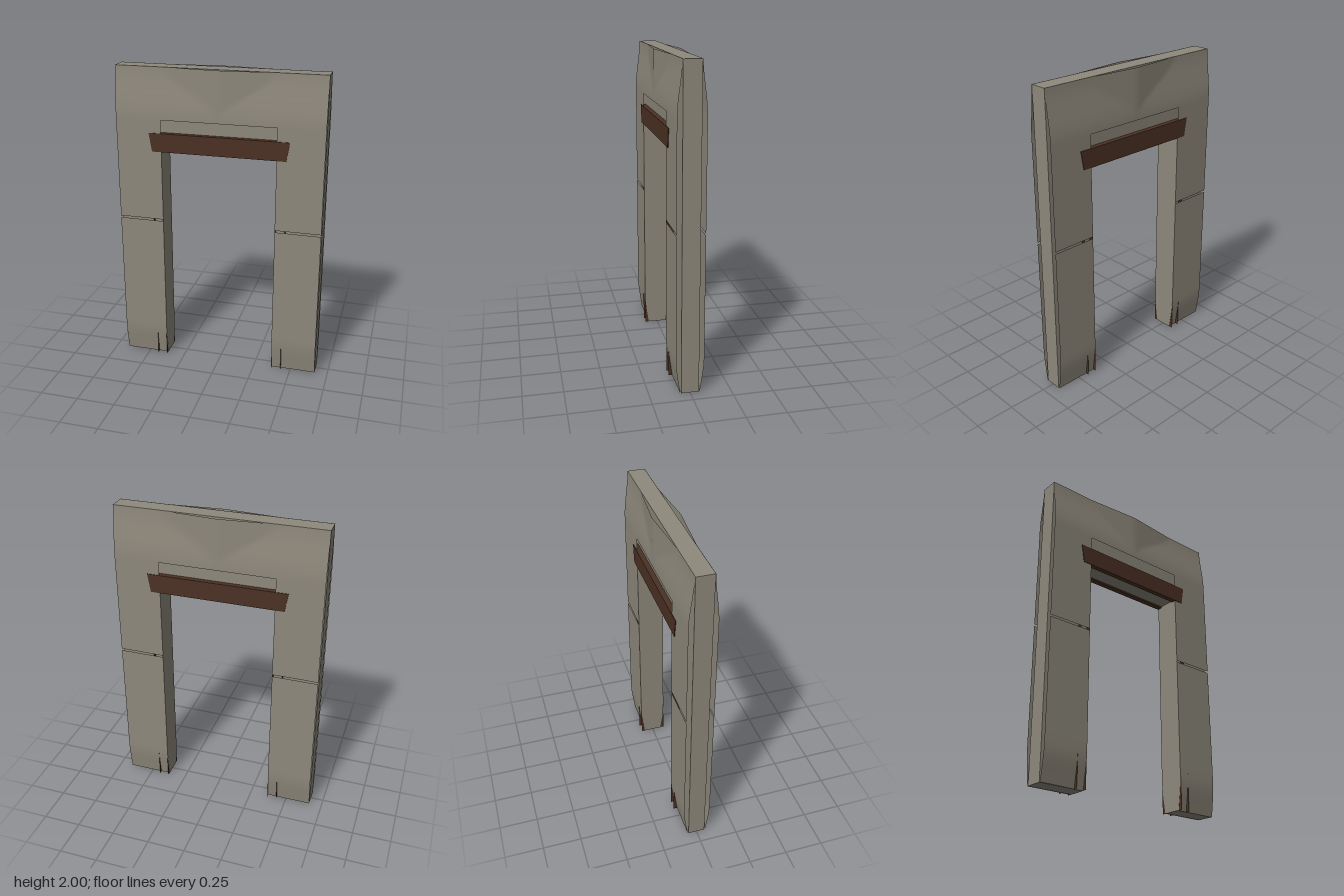
import * as THREE from 'three';

const stone = new THREE.MeshStandardMaterial({ color: 0x8f897c });
const sheet = new THREE.MeshStandardMaterial({ color: 0x8f897c, side: THREE.DoubleSide });
const wood = new THREE.MeshStandardMaterial({ color: 0x4c3124, side: THREE.DoubleSide });
const W = 0.665, IN = 0.37, H = 2, OPEN = 1.48, SLOT = 1.675, CORE = 0.055, FACE = 0.086;

function add(parent, name, geometry, material) {
  const mesh = new THREE.Mesh(geometry, material);
  mesh.name = name;
  parent.add(mesh);
}

// Depth of the swollen stone face, tapering at its foot and its head
function faceDepth(x, y) {
  const foot = THREE.MathUtils.smoothstep(y, -0.08, 0.22);
  const head = THREE.MathUtils.smoothstep(H - y, -0.02, 0.32);
  const crown = Math.max(0, 1 - Math.abs(x) / 0.36);
  const rise = Math.min(foot, Math.max(head, crown));
  return CORE + 0.001 + (FACE - CORE - 0.001) * rise;
}

// A face panel bent to the depth rule
function panel(x0, x1, y0, y1, nx, ny) {
  const geo = new THREE.PlaneGeometry(x1 - x0, y1 - y0, nx, ny);
  geo.translate((x0 + x1) / 2, (y0 + y1) / 2, 0);
  const p = geo.attributes.position;
  for (let i = 0; i < p.count; i++) p.setZ(i, faceDepth(p.getX(i), p.getY(i)));
  geo.computeVertexNormals();
  return geo;
}

// Outline given as corner points, extruded from z0 to z1
function slab(points, z0, z1) {
  const shape = new THREE.Shape(points.map(([x, y]) => new THREE.Vector2(x, y)));
  return new THREE.ExtrudeGeometry(shape, { depth: z1 - z0, bevelEnabled: false }).translate(0, 0, z0);
}

// Thin upright strip facing along x (dir = 1 or -1); a tapered one follows the stone face
function strip(x, y0, y1, dir, tapered = false) {
  const geo = new THREE.PlaneGeometry(FACE - CORE, y1 - y0, 1, 24);
  geo.rotateY(dir * Math.PI / 2);
  geo.translate(x, (y0 + y1) / 2, (FACE + CORE) / 2);
  const p = geo.attributes.position;
  for (let i = 0; tapered && i < p.count; i++) {
    p.setZ(i, Math.min(p.getZ(i), faceDepth(x, p.getY(i))));
  }
  return geo;
}

// Everything that repeats on the front and the back
function buildFace(name) {
  const g = new THREE.Group();
  g.name = name;
  for (const s of [-1, 1]) {
    const a = Math.min(s * IN, s * W), b = Math.max(s * IN, s * W);
    add(g, 'lowerPillarFace', panel(a, b, 0, 1.0, 8, 24), sheet);
    add(g, 'upperPillarFace', panel(a, b, 1.012, SLOT, 8, 10), sheet);
    // Stone return around the opening, with the timber lining behind it
    add(g, 'pillarReturn', strip(s * IN, 0, OPEN, -s, true), sheet);
    add(g, 'jambInner', strip(s * (IN + 0.002), 0, OPEN, -s), wood);
    add(g, 'jambOuter', strip(s * 0.435, 0, 1.58, s), wood);
  }
  // The head stops above the lintel, leaving a slot
  add(g, 'headFace', panel(-W, W, SLOT, H, 44, 20), sheet);
  add(g, 'lintelBoard', slab([[-0.43, 1.47], [0.43, 1.47], [0.45, 1.59], [-0.45, 1.59]], 0.056, 0.09), wood);
  return g;
}

export function createModel() {
  const model = new THREE.Group();
  model.name = 'stoneDoorway';

  // Inner stone arch with flat sides
  add(model, 'archCore', slab([
    [-W, 0], [-IN, 0], [-IN, OPEN], [IN, OPEN], [IN, 0], [W, 0], [W, H], [-W, H],
  ], -CORE, CORE), stone);

  model.add(buildFace('frontFace'));
  const back = buildFace('backFace');
  back.rotation.y = Math.PI;
  model.add(back);
  return model;
}
